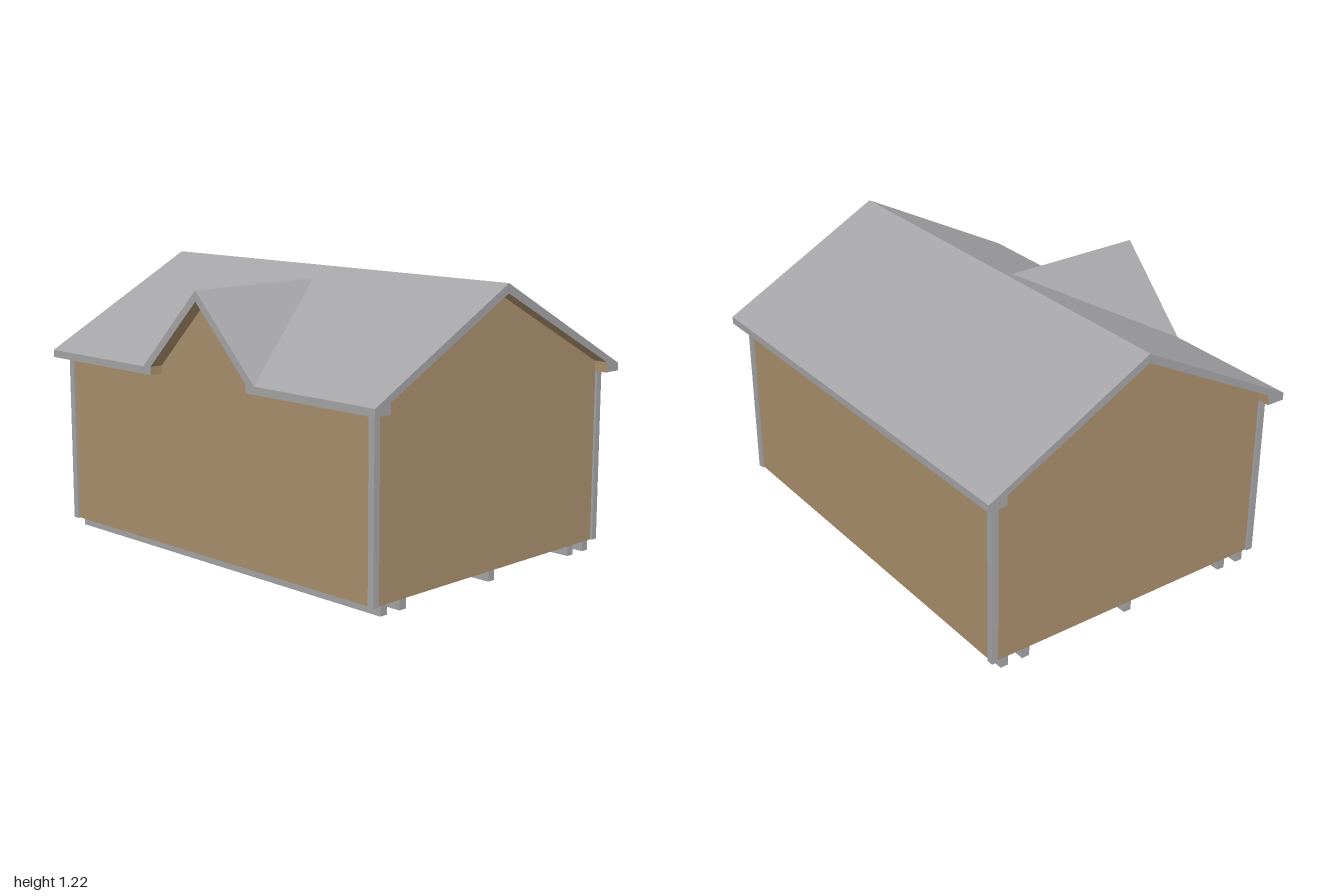
import * as THREE from 'three';

export function createModel() {
  const house = new THREE.Group();
  const grey = new THREE.MeshStandardMaterial({ color: 0xa6a6a8, side: THREE.DoubleSide });
  const brown = new THREE.MeshStandardMaterial({ color: 0xab906d, side: THREE.DoubleSide });
  grey.name = 'roofGrey';
  brown.name = 'wallBrown';

  // Flat convex polygons, fanned into triangles and mirrored left to right
  // (and front to back when asked).
  function surface(name, material, polygons, mirrorZ = false) {
    const out = [];
    for (const sz of mirrorZ ? [1, -1] : [1]) {
      for (const sx of [1, -1]) {
        for (const p of polygons) {
          for (let i = 1; i < p.length - 1; i++) {
            const tri = sx * sz > 0 ? [p[0], p[i], p[i + 1]] : [p[0], p[i + 1], p[i]];
            for (const [x, y, z] of tri) out.push(x * sx, y, z * sz);
          }
        }
      }
    }
    const g = new THREE.BufferGeometry();
    g.setAttribute('position', new THREE.Float32BufferAttribute(out, 3));
    g.computeVertexNormals();
    const m = new THREE.Mesh(g, material);
    m.name = name;
    house.add(m);
  }

  function box(name, x0, x1, y0, y1, z0, z1) {
    const m = new THREE.Mesh(new THREE.BoxGeometry(x1 - x0, y1 - y0, z1 - z0), grey);
    m.position.set((x0 + x1) / 2, (y0 + y1) / 2, (z0 + z1) / 2);
    m.name = name;
    house.add(m);
  }

  // Key dimensions
  const base = 0.043, low = 0.785, eave = 0.8175, ridge = 1.215, ridgeIn = 1.175;
  const zOut = 0.75, zIn = 0.665, yIn = 0.83, zWall = 0.69, xWall = 0.94;
  const peak = 1.166, peakIn = 1.12, notch = 0.3;
  const valley = peak - eave;
  const zPeak = zOut * (ridge - peak) / (ridge - eave);
  const zPeakIn = zIn * (ridgeIn - peakIn) / (ridgeIn - yIn);

  // Walls, open underneath
  surface('frontWall', brown, [
    [[0, base, zWall], [xWall, base, zWall], [xWall, 0.82, zWall], [0, 0.82, zWall]],
    [[0, 0.82, zWall], [notch, 0.82, zWall], [0, peakIn, zWall]],
  ]);
  surface('backWall', brown, [
    [[xWall, base, -zWall], [0, base, -zWall], [0, 0.82, -zWall], [xWall, 0.82, -zWall]],
  ]);
  surface('gableWalls', brown, [
    [[xWall, base, 0], [xWall, ridgeIn, 0], [xWall, yIn, zIn], [xWall, 0.815, zWall], [xWall, base, zWall]],
  ], true);

  // Main roof: the front slope is cut along the dormer valleys
  surface('frontRoof', grey, [
    [[0, ridge, 0], [0, peak, zPeak], [valley, eave, zOut], [1, eave, zOut], [1, ridge, 0]],
  ]);
  surface('backRoof', grey, [
    [[0, ridge, 0], [1, ridge, 0], [1, eave, -zOut], [0, eave, -zOut]],
  ]);
  surface('rakeBoards', grey, [
    [[1, ridge, 0], [1, eave, zOut], [1, yIn, zIn], [1, ridgeIn, 0]],
    [[1, eave, zOut], [1, low, zOut], [1, low, zIn], [1, yIn, zIn]],
  ], true);

  // Dormer roof and the front fascia that follows it
  surface('dormerRoof', grey, [
    [[0, peak, zOut], [valley, eave, zOut], [0, peak, zPeak]],
  ]);
  surface('frontFascia', grey, [
    [[notch, low, zOut], [1, low, zOut], [1, eave, zOut], [valley, eave, zOut], [notch, 0.82, zOut]],
    [[0, peakIn, zOut], [notch, 0.82, zOut], [valley, eave, zOut], [0, peak, zOut]],
  ]);
  surface('backFascia', grey, [
    [[1, low, -zOut], [0, low, -zOut], [0, eave, -zOut], [1, eave, -zOut]],
  ]);

  // Roof undersides and boxed eaves
  surface('frontSoffit', brown, [
    [[0, ridgeIn, 0], [1, ridgeIn, 0], [1, yIn, zIn], [notch, yIn, zIn], [0, peakIn, zPeakIn]],
    [[notch, yIn, zIn], [1, yIn, zIn], [1, low, zIn], [notch, low, zIn]],
    [[notch, low, zIn], [1, low, zIn], [1, low, zOut], [notch, low, zOut]],
    [[notch, low, zIn], [notch, low, zOut], [notch, 0.82, zOut], [notch, 0.82, zIn]],
  ]);
  surface('dormerSoffit', brown, [
    [[0, peakIn, zOut], [0, peakIn, zPeakIn], [notch, 0.82, zIn], [notch, 0.82, zOut]],
  ]);
  surface('backSoffit', brown, [
    [[0, ridgeIn, 0], [0, yIn, -zIn], [1, yIn, -zIn], [1, ridgeIn, 0]],
    [[0, yIn, -zIn], [0, low, -zIn], [1, low, -zIn], [1, yIn, -zIn]],
    [[0, low, -zIn], [0, low, -zOut], [1, low, -zOut], [1, low, -zIn]],
  ]);

  // L-shaped corner trim
  for (const sx of [1, -1]) {
    for (const sz of [1, -1]) {
      const span = (s, a, b) => (s > 0 ? [a, b] : [-b, -a]);
      box('cornerTrimFace', ...span(sx, 0.92, 0.95), base, low, ...span(sz, 0.69, 0.70));
      box('cornerTrimSide', ...span(sx, 0.94, 0.95), base, low, ...span(sz, 0.67, 0.69));
    }
  }

  // Floor skids
  for (const z of [-0.633, -0.528, 0, 0.528, 0.633]) {
    box('skid', -xWall, xWall, 0, base, z - 0.018, z + 0.018);
  }
  return house;
}
